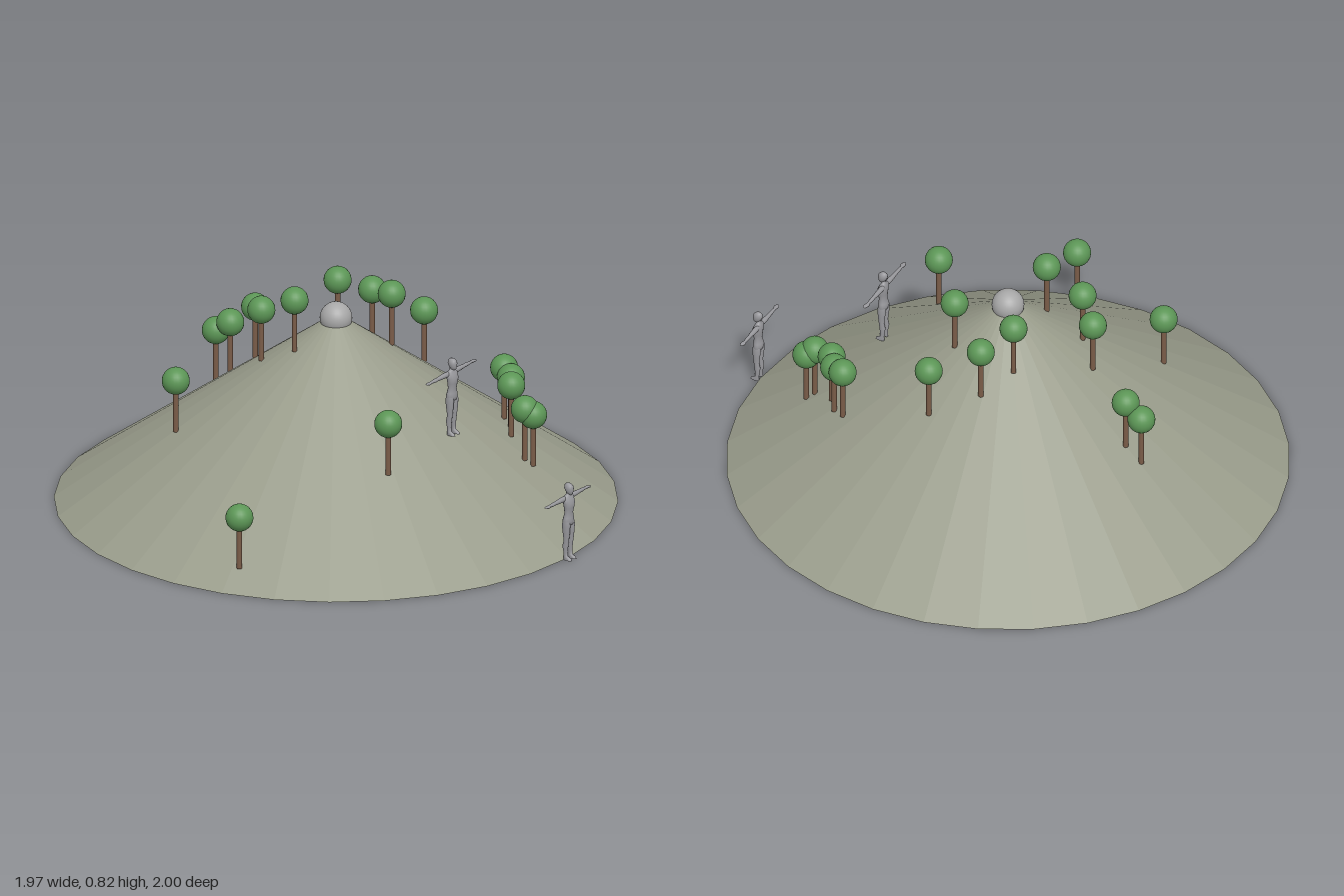
import * as THREE from 'three';

const mat = (name, color, extra = {}) => {
  const m = new THREE.MeshStandardMaterial({ color, ...extra });
  m.name = name;
  return m;
};

const HILL_R = 0.985, HILL_H = 0.7, HILL_Z = -0.015;
const groundY = (x, z) => HILL_H * (1 - Math.hypot(x, z - HILL_Z) / HILL_R);

// Smooth body from stacked ellipses: [y, centreX, centreZ, radiusX, radiusZ]
function loft(sections, sides = 14) {
  const pos = [], idx = [];
  sections.forEach(([y, cx, cz, rx, rz], i) => {
    for (let j = 0; j < sides; j++) {
      const t = (j / sides) * Math.PI * 2;
      pos.push(cx + Math.cos(t) * rx, y, cz + Math.sin(t) * rz);
      if (i === sections.length - 1) continue;
      const a = i * sides + j, b = i * sides + (j + 1) % sides;
      idx.push(a, a + sides, b, b, a + sides, b + sides);
    }
  });
  const g = new THREE.BufferGeometry();
  g.setAttribute('position', new THREE.Float32BufferAttribute(pos, 3));
  g.setIndex(idx);
  g.computeVertexNormals();
  return g;
}

export function createModel() {
  const root = new THREE.Group();
  root.name = 'hillWithTrees';
  const earth = mat('earth', 0x9a9d8c, { flatShading: true });
  const leaves = mat('leaves', 0x5c9656);
  const bark = mat('bark', 0x7a5c48);
  const stone = mat('stone', 0xa8a8a8);
  const statue = mat('statueGrey', 0x98989c);

  const add = (parent, name, geo, material, x = 0, y = 0, z = 0) => {
    const m = new THREE.Mesh(geo, material);
    m.name = name;
    m.position.set(x, y, z);
    parent.add(m);
    return m;
  };

  // Hill and the ball on its summit
  add(root, 'hill', new THREE.ConeGeometry(HILL_R, HILL_H, 32), earth, 0, HILL_H / 2, HILL_Z);
  add(root, 'summitBall', new THREE.SphereGeometry(0.057, 32, 16), stone, 0, 0.68, HILL_Z);

  // Trees standing on the slope
  const crownGeo = new THREE.SphereGeometry(0.049, 24, 16);
  const trunkGeo = new THREE.CylinderGeometry(0.0095, 0.0095, 0.19, 12);
  const spots = [
    [0.11, -0.605], [0.105, -0.54], [-0.41, -0.41], [-0.05, -0.325], [-0.14, -0.235],
    [-0.145, -0.09], [0.18, -0.135], [0.29, -0.065], [0.385, 0.09], [0.16, 0.11],
    [-0.87, 0.185], [-0.33, 0.44], [0.38, 0.435], [0.35, 0.485], [0.295, 0.525],
    [0.235, 0.625], [0.25, 0.65],
  ];
  for (const [x, z] of spots) {
    const tree = new THREE.Group();
    tree.name = 'tree';
    tree.position.set(x, groundY(x, z), z);
    add(tree, 'trunk', trunkGeo, bark, 0, 0.095, 0);
    add(tree, 'crown', crownGeo, leaves, 0, 0.19, 0);
    root.add(tree);
  }

  // Figures with outstretched arms
  const torsoGeo = loft([
    [0.126, 0, 0, 0.006, 0.006], [0.132, 0, 0, 0.022, 0.015], [0.145, 0, -0.001, 0.026, 0.018],
    [0.158, 0, 0, 0.023, 0.016], [0.175, 0, 0.001, 0.019, 0.013], [0.195, 0, 0.002, 0.022, 0.016],
    [0.213, 0, 0.002, 0.026, 0.018], [0.23, 0, -0.001, 0.027, 0.014], [0.238, 0, -0.002, 0.02, 0.01],
    [0.243, 0, -0.001, 0.009, 0.009], [0.252, 0, 0, 0.008, 0.008],
  ]);
  const headGeo = loft([
    [0.243, 0, 0.008, 0.003, 0.004], [0.247, 0, 0.007, 0.009, 0.01], [0.256, 0, 0.004, 0.013, 0.015],
    [0.267, 0, 0.002, 0.015, 0.018], [0.277, 0, 0.001, 0.013, 0.016], [0.283, 0, 0, 0.008, 0.01],
    [0.285, 0, 0, 0.0005, 0.0005],
  ]);
  const legGeo = loft([
    [0, 0.014, 0.006, 0.007, 0.017], [0.006, 0.014, 0.005, 0.008, 0.016], [0.014, 0.014, -0.002, 0.007, 0.008],
    [0.03, 0.014, -0.003, 0.007, 0.008], [0.052, 0.014, -0.004, 0.0095, 0.011], [0.074, 0.014, 0, 0.0085, 0.01],
    [0.1, 0.014, 0, 0.0115, 0.013], [0.13, 0.013, 0, 0.013, 0.016], [0.145, 0.012, 0, 0.011, 0.013],
  ]);
  const armGeo = loft([
    [0, 0, 0, 0.009, 0.009], [0.18, 0, 0, 0.0095, 0.0095], [0.36, 0, 0, 0.008, 0.008],
    [0.5, 0, 0, 0.0065, 0.0065], [0.58, 0, 0, 0.007, 0.007], [0.78, 0, 0, 0.0045, 0.005],
    [0.84, 0, 0, 0.004, 0.009], [0.92, 0, 0.001, 0.0035, 0.009], [1, 0, 0.001, 0.001, 0.004],
  ], 10);

  const addFigure = (y, z, reach) => {
    const figure = new THREE.Group();
    figure.name = 'figure';
    figure.position.set(0, y, z);
    add(figure, 'torso', torsoGeo, statue);
    add(figure, 'head', headGeo, statue);
    for (const s of [1, -1]) {
      const legSide = s > 0 ? legGeo : legGeo.clone().translate(-0.0275, 0, 0);
      add(figure, s > 0 ? 'leftLeg' : 'rightLeg', legSide, statue);
      const arm = add(figure, s > 0 ? 'leftArm' : 'rightArm', armGeo, statue, s * 0.015, 0.23, -0.005);
      arm.rotation.z = -s * Math.PI / 2;
      arm.scale.y = reach - 0.015;
    }
    root.add(figure);
  };
  addFigure(0, 0.977, 0.135);
  addFigure(0.355, 0.48, 0.15);

  return root;
}
